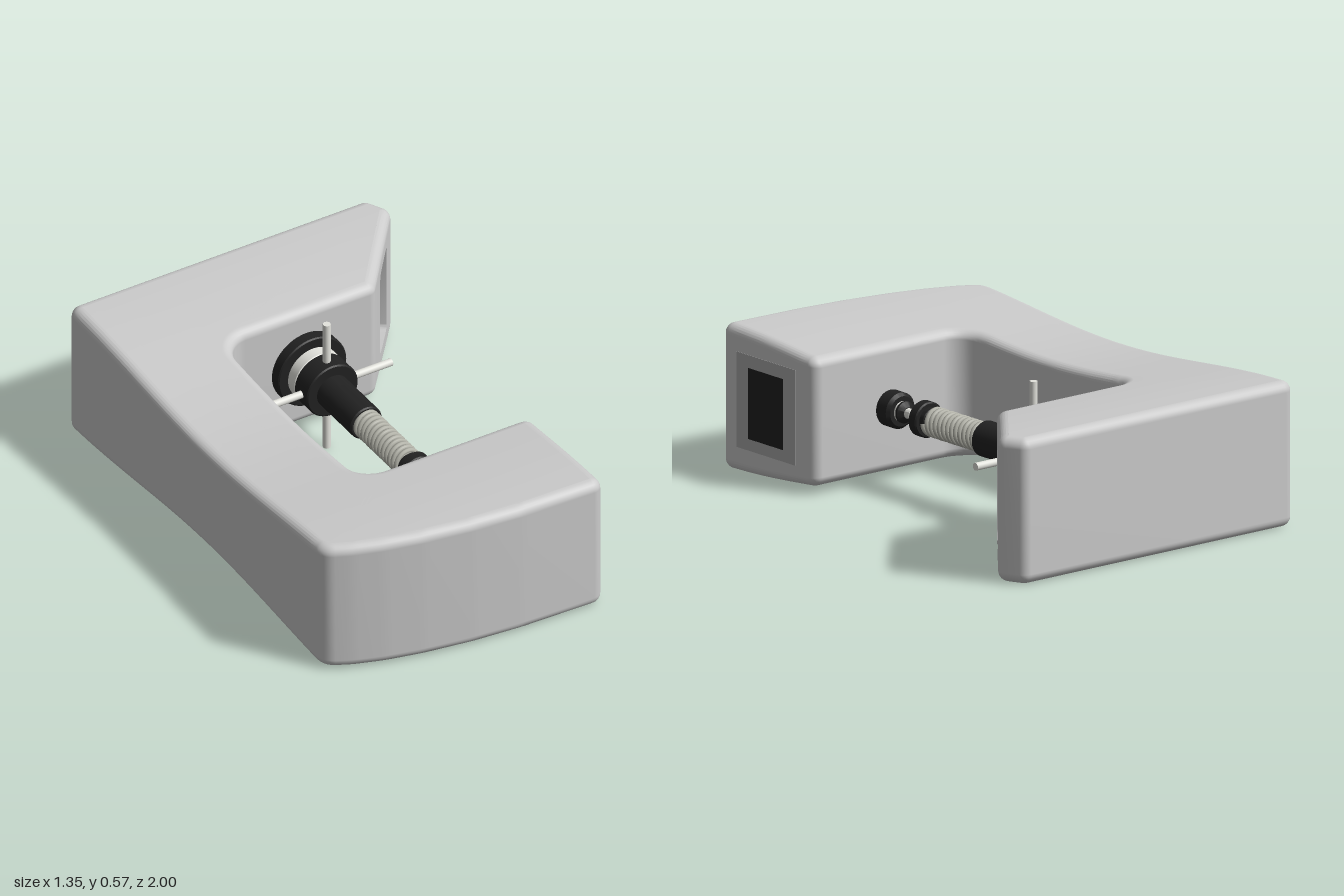
import * as THREE from 'three';
import { mergeVertices, toCreasedNormals } from 'three/addons/utils/BufferGeometryUtils.js';

const H = 0.565, MID = H / 2, BEVEL = 0.04;
const AXIS_X = 0.085, AXIS_Y = 0.285;

const mat = (color) => new THREE.MeshStandardMaterial({ color });
const grey = mat(0xcccccc), black = mat(0x222222), steel = mat(0xe4e4de);
const thread = mat(0xb4b4aa), frameGrey = mat(0xacacac), green = mat(0x2e8b35), red = mat(0xc42a20);

// Polygon with an arc of radius r at each corner [x, y, r]
function outline(corners) {
  const pts = [], n = corners.length;
  corners.forEach(([x, y, r], i) => {
    const p = new THREE.Vector2(x, y);
    const toward = (c) => new THREE.Vector2(c[0], c[1]).sub(p).normalize();
    const d1 = toward(corners[(i + n - 1) % n]), d2 = toward(corners[(i + 1) % n]);
    const half = Math.acos(THREE.MathUtils.clamp(d1.dot(d2), -1, 1)) / 2;
    const c = d1.clone().add(d2).normalize().multiplyScalar(r / Math.sin(half)).add(p);
    const t = r / Math.tan(half);
    const a0 = d1.clone().multiplyScalar(t).add(p).sub(c).angle();
    let da = d2.clone().multiplyScalar(t).add(p).sub(c).angle() - a0;
    if (da > Math.PI) da -= 2 * Math.PI;
    if (da < -Math.PI) da += 2 * Math.PI;
    const steps = Math.max(2, Math.ceil(Math.abs(da) / 0.22));
    for (let k = 0; k <= steps; k++) {
      const a = a0 + da * k / steps;
      pts.push(new THREE.Vector2(c.x + r * Math.cos(a), c.y + r * Math.sin(a)));
    }
  });
  return pts;
}

const rect = (w, h, r) => outline([[-w / 2, -h / 2, r], [w / 2, -h / 2, r], [w / 2, h / 2, r], [-w / 2, h / 2, r]]);

// The frame gets thinner towards the middle of its length
const waist = (z) => 1 - 0.11 * (1 + Math.cos(Math.PI * z));

// Split triangles until none is long in z, so that the waist is smooth
function split(a, b, c, out) {
  const dz = [[a, b, c], [b, c, a], [c, a, b]].sort((p, q) => Math.abs(q[0].z - q[1].z) - Math.abs(p[0].z - p[1].z));
  const [p, q, r] = dz[0];
  if (Math.abs(p.z - q.z) < 0.08) {
    for (const v of [a, b, c]) out.push(v.x, MID + (v.y - MID) * waist(v.z), v.z);
    return;
  }
  const m = p.clone().add(q).multiplyScalar(0.5);
  split(p, m, r, out);
  split(m, q, r, out);
}

function triangles(geometry) {
  const g = geometry.index ? geometry.toNonIndexed() : geometry;
  const pos = g.attributes.position, list = [];
  for (let i = 0; i < pos.count; i += 3) {
    list.push([0, 1, 2].map((k) => new THREE.Vector3().fromBufferAttribute(pos, i + k)));
  }
  return list;
}

function fromTriangles(list) {
  const out = [];
  list.forEach(([a, b, c]) => split(a, b, c, out));
  return new THREE.BufferGeometry().setAttribute('position', new THREE.Float32BufferAttribute(out, 3));
}

function add(parent, name, geometry, material, x = 0, y = 0, z = 0) {
  const mesh = new THREE.Mesh(geometry, material);
  mesh.name = name;
  mesh.position.set(x, y, z);
  parent.add(mesh);
  return mesh;
}

// C-shaped frame with a slanted face that holds the button recess
function buildFrame(group) {
  const A = new THREE.Vector3(0.682, MID, -0.9), B = new THREE.Vector3(0.385, MID, -0.535);
  const r = 0.042;
  const plan = [
    [-0.675, -1, r], [0.63, -1, r], [A.x, A.z, r], [B.x, B.z, r],
    [-0.28, -0.535, 0.1], [-0.28, 0.455, 0.1], [0.45, 0.455, r], [0.45, 1, r],
    [0.1, 0.99, 0.6], [-0.1, 0.972, 0.6], [-0.3, 0.94, 0.6], [-0.45, 0.905, 0.6], [-0.57, 0.865, 0.4], [-0.675, 0.815, 0.08],
  ].map(([x, z, q]) => [x, -z, q]);
  const solid = new THREE.ExtrudeGeometry(new THREE.Shape(outline(plan)), {
    depth: H - 2 * BEVEL, bevelThickness: BEVEL, bevelSize: BEVEL, bevelOffset: -BEVEL, bevelSegments: 6,
  });
  solid.rotateX(-Math.PI / 2).translate(0, BEVEL, 0);

  // Local frame of the slanted face: u along it, z outward
  const centre = A.clone().lerp(B, 0.46);
  const u = A.clone().sub(B).normalize();
  const normal = new THREE.Vector3(-u.z, 0, u.x);
  const turn = Math.atan2(normal.x, normal.z);
  const place = (g) => g.rotateY(turn).translate(centre.x, centre.y, centre.z);

  // Replace the slanted wall by one with an opening
  let u0 = Infinity, u1 = -Infinity;
  const kept = triangles(solid).filter((tri) => {
    const rel = tri.map((v) => v.clone().sub(centre));
    if (!rel.every((v) => Math.abs(v.dot(normal)) < 1e-4)) return true;
    rel.forEach((v) => { u0 = Math.min(u0, v.dot(u)); u1 = Math.max(u1, v.dot(u)); });
    return false;
  });
  const v1 = MID - BEVEL;
  const wall = new THREE.Shape([[u0, -v1], [u1, -v1], [u1, v1], [u0, v1]].map((p) => new THREE.Vector2(...p)));
  const opening = () => new THREE.Path(rect(0.19, 0.394, 0.028));
  wall.holes.push(opening());
  kept.push(...triangles(place(new THREE.ShapeGeometry(wall))));
  const body = mergeVertices(fromTriangles(kept));
  body.computeVertexNormals();
  add(group, 'frame', body, grey);

  // Recess walls and floor
  const ring = new THREE.Shape(rect(0.22, 0.42, 0.03));
  ring.holes.push(opening());
  const rim = new THREE.ExtrudeGeometry(ring, { depth: 0.04, bevelEnabled: false }).translate(0, 0, -0.041);
  add(group, 'recessWall', toCreasedNormals(fromTriangles(triangles(place(rim))), 0.6), grey);
  const panel = new THREE.Group();
  panel.name = 'buttonPanel';
  panel.position.copy(centre);
  panel.rotation.y = turn;
  group.add(panel);
  add(panel, 'recessFloor', new THREE.BoxGeometry(0.21, 0.4, 0.01), grey, 0, 0, -0.045);
  for (const [name, y, material] of [['greenButton', 0.385, green], ['redButton', 0.232, red]]) {
    add(panel, name + 'Base', new THREE.BoxGeometry(0.075, 0.075, 0.006), grey, 0, y - MID, -0.038);
    add(panel, name, new THREE.BoxGeometry(0.04, 0.042, 0.012), material, 0, y - MID, -0.036);
  }
}

// Turned part along the spindle axis, from [radius, z] pairs with z rising
function turned(group, name, profile, material) {
  const pts = profile.map(([r, z]) => new THREE.Vector2(r, z));
  const g = new THREE.LatheGeometry(pts, 48).rotateX(Math.PI / 2);
  add(group, name, toCreasedNormals(g, 0.5), material, AXIS_X, AXIS_Y, 0);
}

const disc = (r, z0, z1, e = 0.005) => [[0, z0], [r - e, z0], [r, z0 + e], [r, z1 - e], [r - e, z1], [0, z1]];

class Helix extends THREE.Curve {
  getPoint(t, target = new THREE.Vector3()) {
    const a = t * 13 * 2 * Math.PI;
    return target.set(0.05 * Math.cos(a), 0.05 * Math.sin(a), -0.11 + 0.31 * t);
  }
}

export function createModel() {
  const group = new THREE.Group();
  group.name = 'clampGauge';
  buildFrame(group);

  // Display on the end of the front arm
  add(group, 'displaySurround', new THREE.BoxGeometry(0.01, 0.37, 0.345), frameGrey, 0.4465, 0.285, 0.735);
  add(group, 'displayScreen', new THREE.BoxGeometry(0.01, 0.275, 0.205), black, 0.448, 0.283, 0.737);

  // Spindle, from the rear arm forward
  turned(group, 'flange', disc(0.15, -0.54, -0.488), black);
  turned(group, 'collar', disc(0.11, -0.49, -0.435), steel);
  turned(group, 'hub', disc(0.112, -0.437, -0.345), black);
  turned(group, 'sleeve', disc(0.069, -0.35, -0.105), black);
  turned(group, 'threadCore', disc(0.044, -0.11, 0.2), thread);
  add(group, 'threadCoil', new THREE.TubeGeometry(new Helix(), 420, 0.0095, 8), thread, AXIS_X, AXIS_Y, 0);
  turned(group, 'spindleNeck', disc(0.05, 0.195, 0.225), black);
  turned(group, 'spindleTip', disc(0.069, 0.22, 0.265), black);

  // Cross handle through the hub
  for (const [name, axis] of [['handleAcross', 'z'], ['handleUpright', 'y']]) {
    const rod = add(group, name, new THREE.CylinderGeometry(0.015, 0.015, 0.565, 24), steel, AXIS_X, AXIS_Y, -0.388);
    rod.rotation[axis] = Math.PI / 2 * (axis === 'z' ? 1 : 0);
  }

  // Anvil on the front arm
  turned(group, 'anvilBase', disc(0.07, 0.38, 0.46, 0.012), black);
  turned(group, 'anvilRing', disc(0.04, 0.366, 0.385), steel);
  turned(group, 'anvilCone', [[0, 0.345], [0.022, 0.345], [0.042, 0.36], [0.042, 0.37], [0, 0.37]], black);
  turned(group, 'anvilTip', disc(0.02, 0.315, 0.35, 0.004), steel);
  return group;
}
